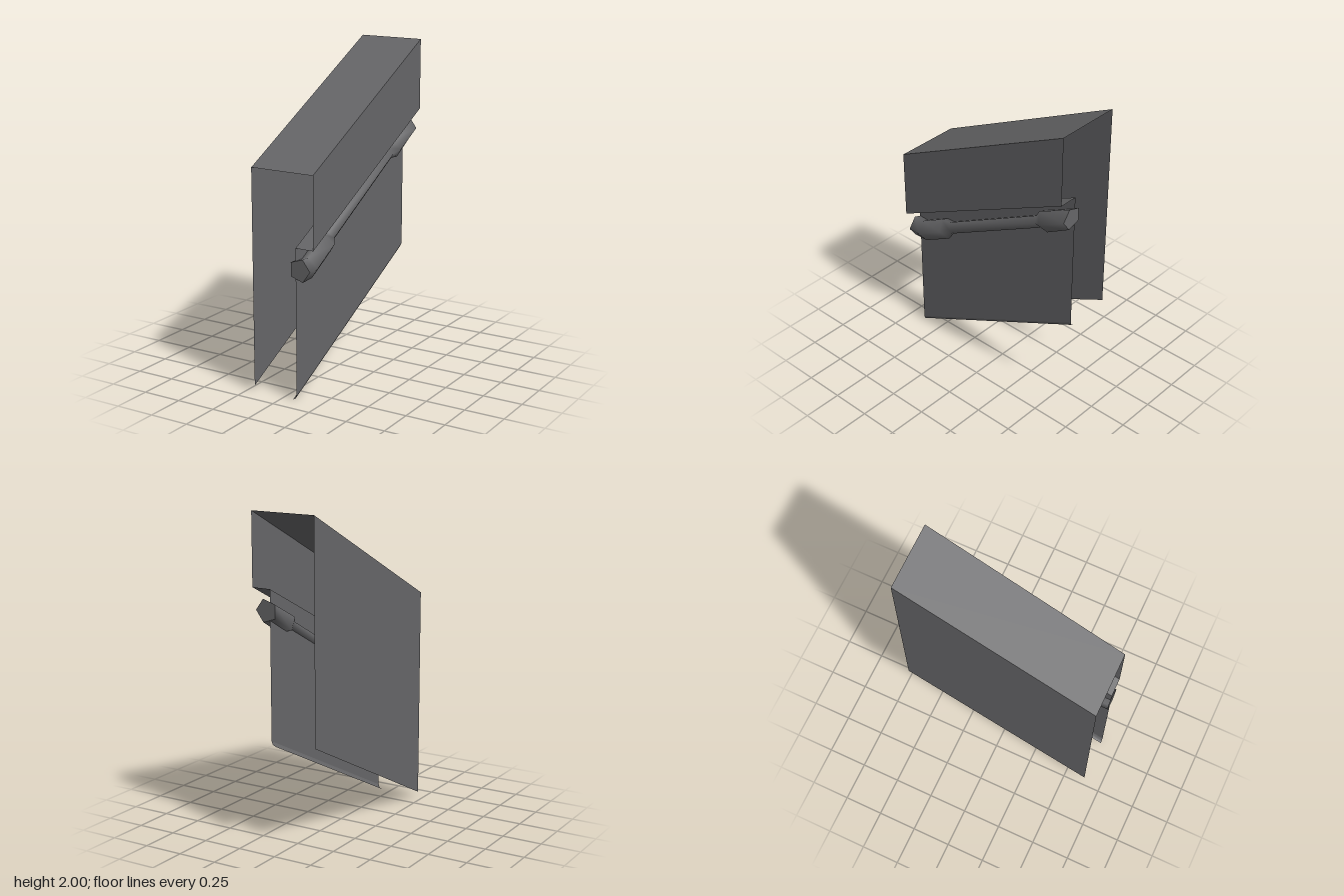
import * as THREE from 'three';

const HALF = 0.632; // half length along z
const RISE = 0.63;  // climb from front to back

// Sheet swept from front to back along the slope, from a cross-section polyline
function slopedSheet(points) {
  const pos = [], index = [];
  points.forEach(([x, y], i) => {
    pos.push(x, y, HALF, x, y + RISE, -HALF);
    if (i > 0) {
      const f1 = 2 * i - 2, b1 = f1 + 1, f2 = f1 + 2, b2 = f1 + 3;
      index.push(f1, f2, b1, f2, b2, b1);
    }
  });
  const g = new THREE.BufferGeometry();
  g.setAttribute('position', new THREE.Float32BufferAttribute(pos, 3));
  g.setIndex(index);
  g.computeVertexNormals();
  return g;
}

// Five-sided bar through rings [z, y, radius, lean]
function barGeometry(rings, cx) {
  const n = 5, pos = [], index = [];
  const addRing = ([z, y, r, lean]) => {
    for (let k = 0; k < n; k++) {
      const a = (k / n) * Math.PI * 2, v = Math.sin(a) * r;
      pos.push(cx + Math.cos(a) * r, y + v * Math.cos(lean), z + v * Math.sin(lean));
    }
  };
  rings.forEach(addRing);
  for (let i = 0; i < rings.length - 1; i++) {
    for (let k = 0; k < n; k++) {
      const a = i * n + k, b = i * n + (k + 1) % n;
      index.push(a, b, a + n, b, b + n, a + n);
    }
  }
  // flat end caps with their own vertices
  const front = rings.length * n, back = front + n;
  addRing(rings[0]);
  addRing(rings[rings.length - 1]);
  for (let k = 1; k < n - 1; k++) {
    index.push(front, front + k, front + k + 1, back, back + k + 1, back + k);
  }
  const g = new THREE.BufferGeometry();
  g.setAttribute('position', new THREE.Float32BufferAttribute(pos, 3));
  g.setIndex(index);
  g.computeVertexNormals();
  return g;
}

export function createModel() {
  const group = new THREE.Group();
  const grey = new THREE.MeshStandardMaterial({ color: 0x666668, side: THREE.DoubleSide });
  grey.name = 'dark grey';
  const add = (name, geometry) => {
    const mesh = new THREE.Mesh(geometry, grey);
    mesh.name = name;
    group.add(mesh);
  };

  // Open sloping casing
  add('leftPanel', slopedSheet([[-0.21, 0.03], [-0.21, 1.37]]));
  add('topPanel', slopedSheet([[-0.21, 1.37], [0.21, 1.37]]));
  add('outerSkirt', slopedSheet([[0.21, 1.37], [0.21, 0.93]]));
  add('ledge', slopedSheet([[0.21, 0.93], [0.09, 0.93]]));
  add('lowerPanel', slopedSheet([[0.09, 0.93], [0.09, 0.03]]));
  add('curledLip', slopedSheet([[0.09, 0.03], [0.083, 0.01], [0.065, 0]]));

  // Handrail with thick grips at both ends, level at the front
  const lean = Math.atan(0.534);
  const railY = z => 0.8 + (0.55 - z) * 0.534;
  add('handrail', barGeometry([
    [HALF, 0.8, 0.072, 0],
    [0.55, 0.8, 0.072, lean / 2],
    [0.36, railY(0.36), 0.07, lean],
    [0.313, railY(0.313), 0.04, lean],
    [-0.395, railY(-0.395), 0.04, lean],
    [-0.44, railY(-0.44), 0.07, lean],
    [-HALF, railY(-HALF), 0.072, 0],
  ], 0.115));

  return group;
}
